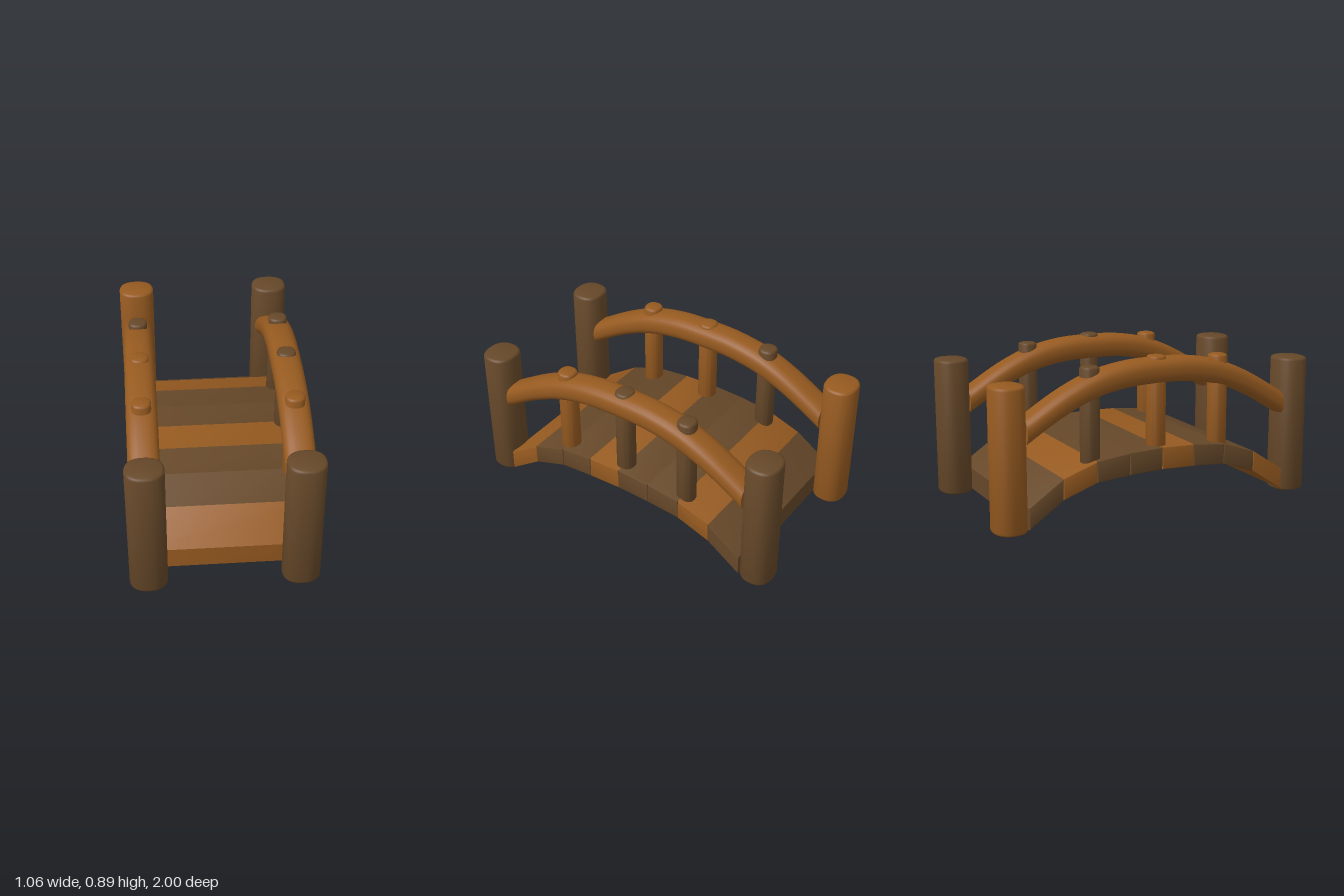
import * as THREE from 'three';
import { toCreasedNormals } from 'three/addons/utils/BufferGeometryUtils.js';

const orange = new THREE.MeshStandardMaterial({ color: 0x965a20 });
const brown = new THREE.MeshStandardMaterial({ color: 0x664829 });

// Push a unit circle out to a slightly squared round
function squircle(x, z, n = 2.4) {
  const r = Math.hypot(x, z);
  if (r < 1e-6) return [0, 0];
  const k = r / Math.pow(Math.abs(x / r) ** n + Math.abs(z / r) ** n, 1 / n);
  return [(x / r) * k, (z / r) * k];
}

// Upright log with rounded rims
function log(rx, rz, y0, y1, bevel) {
  const b = bevel / rx;
  const profile = [
    [0, y0], [1 - b, y0], [1 - b * 0.3, y0 + bevel * 0.3], [1, y0 + bevel],
    [1, y1 - bevel], [1 - b * 0.3, y1 - bevel * 0.3], [1 - b, y1], [0, y1],
  ].map(([r, y]) => new THREE.Vector2(r, y));
  const geo = new THREE.LatheGeometry(profile, 32);
  const p = geo.attributes.position;
  for (let i = 0; i < p.count; i++) {
    const [x, z] = squircle(p.getX(i), p.getZ(i));
    p.setXYZ(i, x * rx, p.getY(i), z * rz);
  }
  return toCreasedNormals(geo, 0.9);
}

// Arched handrail: a straight bar whose sections are lifted along a curve
function railGeometry() {
  const half = 0.82;
  const arch = new THREE.SplineCurve([
    [-0.82, 0.545], [-0.6, 0.675], [-0.4, 0.76], [-0.2, 0.8], [0, 0.808],
    [0.2, 0.8], [0.4, 0.76], [0.6, 0.675], [0.82, 0.545],
  ].map(([z, y]) => new THREE.Vector2(z, y)));
  const geo = new THREE.CylinderGeometry(1, 1, 1, 28, 40).rotateX(Math.PI / 2);
  const p = geo.attributes.position;
  for (let i = 0; i < p.count; i++) {
    const [x, y] = squircle(p.getX(i), p.getY(i), 2.7);
    const c = arch.getPoint(THREE.MathUtils.clamp(p.getZ(i) + 0.5, 0, 1));
    p.setXYZ(i, x * 0.088, c.y + y * 0.072, THREE.MathUtils.clamp(c.x, -half, half));
  }
  return toCreasedNormals(geo, 0.8);
}

// Deck plank: side outline between two stations of the arch, extruded across
function plankGeometry([z0, t0, b0], [z1, t1, b1]) {
  const bevel = 0.007, width = 1.02;
  const shape = new THREE.Shape([[z0, b0], [z1, b1], [z1, t1], [z0, t0]]
    .map(([z, y]) => new THREE.Vector2(z, y)));
  const geo = new THREE.ExtrudeGeometry(shape, {
    depth: width - 2 * bevel, bevelEnabled: true, bevelSize: bevel,
    bevelThickness: bevel, bevelOffset: -bevel, bevelSegments: 2,
  });
  geo.translate(0, 0, -width / 2 + bevel).rotateY(-Math.PI / 2);
  return toCreasedNormals(geo, 0.5);
}

export function createModel() {
  const model = new THREE.Group();
  model.name = 'footbridge';
  const add = (name, geo, mat, x = 0, z = 0) => {
    const mesh = new THREE.Mesh(geo, mat);
    mesh.name = name;
    mesh.position.set(x, 0, z);
    model.add(mesh);
  };

  // Deck stations: z, top, bottom
  const rise = [[0, 0.377, 0.247], [0.205, 0.37, 0.24], [0.41, 0.347, 0.225],
    [0.615, 0.277, 0.155], [0.82, 0.14, 0.015]];
  const stations = [...rise.slice(1).reverse().map(([z, t, b]) => [-z, t, b]), ...rise];
  const plankColors = [brown, orange, brown, brown, orange, brown, brown, orange];
  plankColors.forEach((mat, i) =>
    add('plank' + (i + 1), plankGeometry(stations[i], stations[i + 1]), mat));

  // Corner posts, handrails and balusters on both sides
  const post = log(0.107, 0.096, 0, 0.808, 0.016);
  const rail = railGeometry();
  const sides = [
    { side: 'left', x: 0.425, posts: [brown, brown], balusters: [brown, brown, orange] },
    { side: 'right', x: -0.425, posts: [orange, brown], balusters: [brown, orange, orange] },
  ];
  for (const { side, x, posts, balusters } of sides) {
    add(side + 'BackPost', post, posts[0], x, -0.904);
    add(side + 'FrontPost', post, posts[1], x, 0.904);
    add(side + 'Handrail', rail, orange, x);
    balusters.forEach((mat, i) => {
      const z = [-0.415, 0, 0.405][i];
      add(side + 'Baluster' + (i + 1), log(0.055, 0.053, 0.3, i === 1 ? 0.89 : 0.865, 0.014), mat, x, z);
    });
  }
  return model;
}
